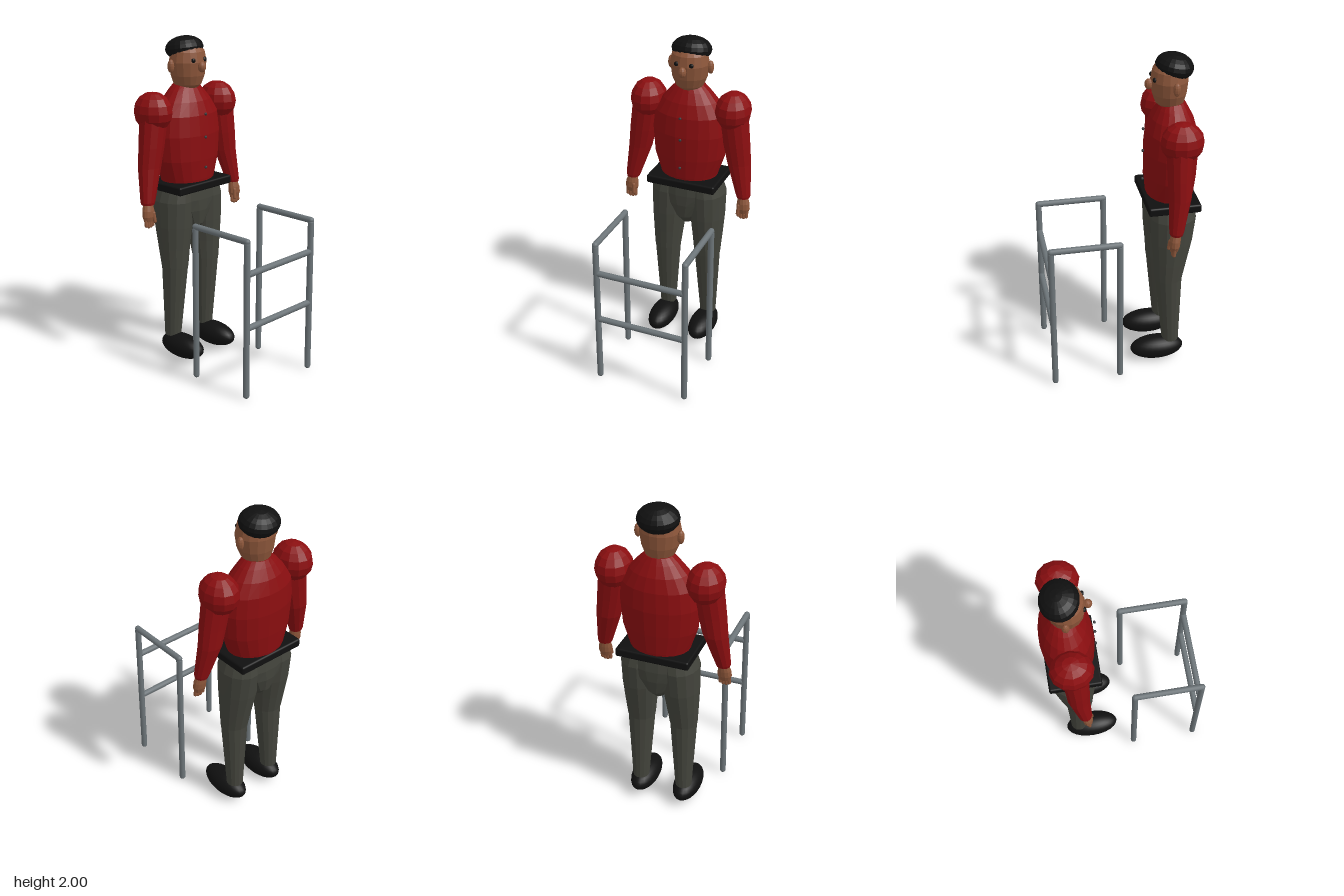
import * as THREE from 'three';
import { RoundedBoxGeometry } from 'three/addons/geometries/RoundedBoxGeometry.js';

const mat = (name, color) => {
  const m = new THREE.MeshStandardMaterial({ color });
  m.name = name;
  return m;
};

// Bake faceted normals into a geometry
function facet(geo) {
  const g = geo.index ? geo.toNonIndexed() : geo;
  g.computeVertexNormals();
  return g;
}

// Faceted body of stacked ellipses, bottom to top: [y, centreX, centreZ, radiusX, radiusZ]
function loft(rings, sides = 14) {
  const pos = [], idx = [];
  for (const [y, cx, cz, rx, rz] of rings) {
    for (let i = 0; i < sides; i++) {
      const a = ((i + 0.5) / sides) * Math.PI * 2;
      pos.push(cx + Math.sin(a) * rx, y, cz + Math.cos(a) * rz);
    }
  }
  for (let r = 0; r < rings.length - 1; r++) {
    for (let i = 0; i < sides; i++) {
      const j = (i + 1) % sides, a = r * sides + i, b = r * sides + j;
      idx.push(a, b, b + sides, a, b + sides, a + sides);
    }
  }
  const top = (rings.length - 1) * sides;
  for (let i = 1; i < sides - 1; i++) {
    idx.push(0, i + 1, i, top, top + i, top + i + 1);
  }
  const g = new THREE.BufferGeometry();
  g.setAttribute('position', new THREE.Float32BufferAttribute(pos, 3));
  g.setIndex(idx);
  return facet(g);
}

export function createModel() {
  const model = new THREE.Group();
  const red = mat('red shirt', 0x8a0e10);
  const skin = mat('skin', 0x8c563a);
  const cloth = mat('grey trousers', 0x43443c);
  const black = mat('black', 0x101010);
  const metal = mat('grey metal', 0x6c7478);
  const buttonGrey = mat('button grey', 0x35383a);

  const add = (name, geo, material, parent = model) => {
    const m = new THREE.Mesh(geo, material);
    m.name = name;
    parent.add(m);
    return m;
  };
  const ball = (name, material, p, r, w = 14, h = 10, smooth = false) => {
    const geo = new THREE.SphereGeometry(1, w, h).scale(...r);
    const m = add(name, smooth ? geo : facet(geo), material);
    m.position.set(...p);
    return m;
  };
  // Rounded bar between two points
  const bar = (name, material, a, b, r, parent = model) => {
    const A = new THREE.Vector3(...a), B = new THREE.Vector3(...b);
    const dir = B.clone().sub(A);
    const m = add(name, new THREE.CapsuleGeometry(r, dir.length(), 5, 14), material, parent);
    m.position.copy(A).add(B).multiplyScalar(0.5);
    m.quaternion.setFromUnitVectors(new THREE.Vector3(0, 1, 0), dir.normalize());
    return m;
  };

  // Torso, belt and shirt buttons
  add('torso', loft([
    [1.12, 0, -0.308, 0.175, 0.138],
    [1.15, 0, -0.308, 0.182, 0.143],
    [1.27, 0, -0.308, 0.222, 0.152],
    [1.42, 0, -0.31, 0.235, 0.156],
    [1.54, 0, -0.312, 0.222, 0.146],
    [1.62, 0, -0.314, 0.17, 0.122],
    [1.68, 0, -0.315, 0.118, 0.09],
    [1.715, 0, -0.315, 0.08, 0.07],
  ], 20), red);
  const belt = add('belt', new RoundedBoxGeometry(0.44, 0.052, 0.312, 3, 0.012), black);
  belt.position.set(0, 1.11, -0.3);
  for (const y of [1.225, 1.41, 1.55]) ball('button', buttonGrey, [0, y, -0.147], [0.009, 0.009, 0.008], 10, 6);

  // Head
  add('neck', loft([[1.64, 0, -0.315, 0.07, 0.065], [1.74, 0, -0.31, 0.068, 0.066]]), skin);
  add('head', loft([
    [1.69, 0, -0.3, 0.058, 0.06],
    [1.715, 0, -0.298, 0.083, 0.084],
    [1.77, 0, -0.295, 0.106, 0.1],
    [1.85, 0, -0.294, 0.118, 0.108],
    [1.91, 0, -0.295, 0.106, 0.098],
    [1.95, 0, -0.297, 0.075, 0.07],
    [1.965, 0, -0.297, 0.04, 0.04],
  ], 16), skin);
  ball('hair', black, [0, 1.925, -0.322], [0.12, 0.073, 0.11], 20, 10).rotation.x = -0.17;
  ball('nose', skin, [0, 1.826, -0.176], [0.024, 0.032, 0.025], 10, 8);

  // Hips
  add('pelvis', loft([
    [0.8, 0, -0.305, 0.035, 0.06],
    [0.86, 0, -0.308, 0.08, 0.118],
    [0.95, 0, -0.31, 0.16, 0.137],
    [1.02, 0, -0.31, 0.22, 0.141],
    [1.1, 0, -0.308, 0.212, 0.136],
  ], 18), cloth);

  for (const s of [1, -1]) {
    const side = s > 0 ? 'left' : 'right';
    ball(side + 'Ear', skin, [s * 0.123, 1.83, -0.31], [0.02, 0.04, 0.022], 10, 8);
    ball(side + 'Eye', black, [s * 0.046, 1.865, -0.2], [0.015, 0.014, 0.012], 10, 8);

    // Arm with puffed shoulder
    ball(side + 'Shoulder', red, [s * 0.27, 1.58, -0.312], [0.108, 0.118, 0.125], 12, 8);
    add(side + 'UpperArm', loft([
      [1.26, s * 0.322, -0.296, 0.073, 0.064],
      [1.38, s * 0.303, -0.296, 0.082, 0.07],
      [1.54, s * 0.28, -0.3, 0.088, 0.078],
    ], 12), red);
    add(side + 'Forearm', loft([
      [1.045, s * 0.365, -0.27, 0.04, 0.038],
      [1.06, s * 0.364, -0.271, 0.045, 0.042],
      [1.26, s * 0.322, -0.296, 0.073, 0.064],
      [1.29, s * 0.318, -0.296, 0.06, 0.052],
    ], 12), red);

    // Hand
    const hand = new THREE.Group();
    hand.name = side + 'Hand';
    model.add(hand);
    add('palm', loft([
      [0.945, s * 0.371, -0.258, 0.032, 0.022],
      [0.975, s * 0.371, -0.259, 0.042, 0.031],
      [1.01, s * 0.37, -0.262, 0.039, 0.032],
      [1.055, s * 0.365, -0.268, 0.028, 0.026],
    ], 12), skin, hand);
    for (let i = 0; i < 4; i++) {
      const x = s * (0.344 + i * 0.0175);
      bar('finger', skin, [x, 0.97, -0.257], [x, i % 3 ? 0.914 : 0.922, -0.252], 0.0105, hand);
    }
    bar('thumb', skin, [s * 0.35, 0.995, -0.238], [s * 0.346, 0.945, -0.232], 0.011, hand);

    // Leg and shoe
    add(side + 'Thigh', loft([
      [0.6, s * 0.134, -0.288, 0.083, 0.083],
      [0.72, s * 0.131, -0.296, 0.094, 0.1],
      [0.86, s * 0.126, -0.304, 0.107, 0.122],
      [1.02, s * 0.122, -0.31, 0.112, 0.136],
      [1.085, s * 0.115, -0.308, 0.098, 0.125],
    ], 14), cloth);
    add(side + 'Shin', loft([
      [0.14, s * 0.14, -0.307, 0.05, 0.052],
      [0.6, s * 0.134, -0.288, 0.081, 0.081],
    ], 14), cloth);
    ball(side + 'Shoe', black, [s * 0.14, 0.083, -0.222], [0.082, 0.074, 0.168], 24, 16, true);

    // Walking frame side
    for (const z of [0.04, 0.445]) bar(side + 'FramePost', metal, [s * 0.28, 0.018, z], [s * 0.28, 0.94, z], 0.0185);
    bar(side + 'FrameHandle', metal, [s * 0.28, 0.955, 0.04], [s * 0.28, 0.955, 0.445], 0.0185);
  }

  // Walking frame crossbars
  for (const y of [0.435, 0.76]) bar('frameCrossbar', metal, [-0.265, y, 0.445], [0.265, y, 0.445], 0.0185);

  return model;
}
